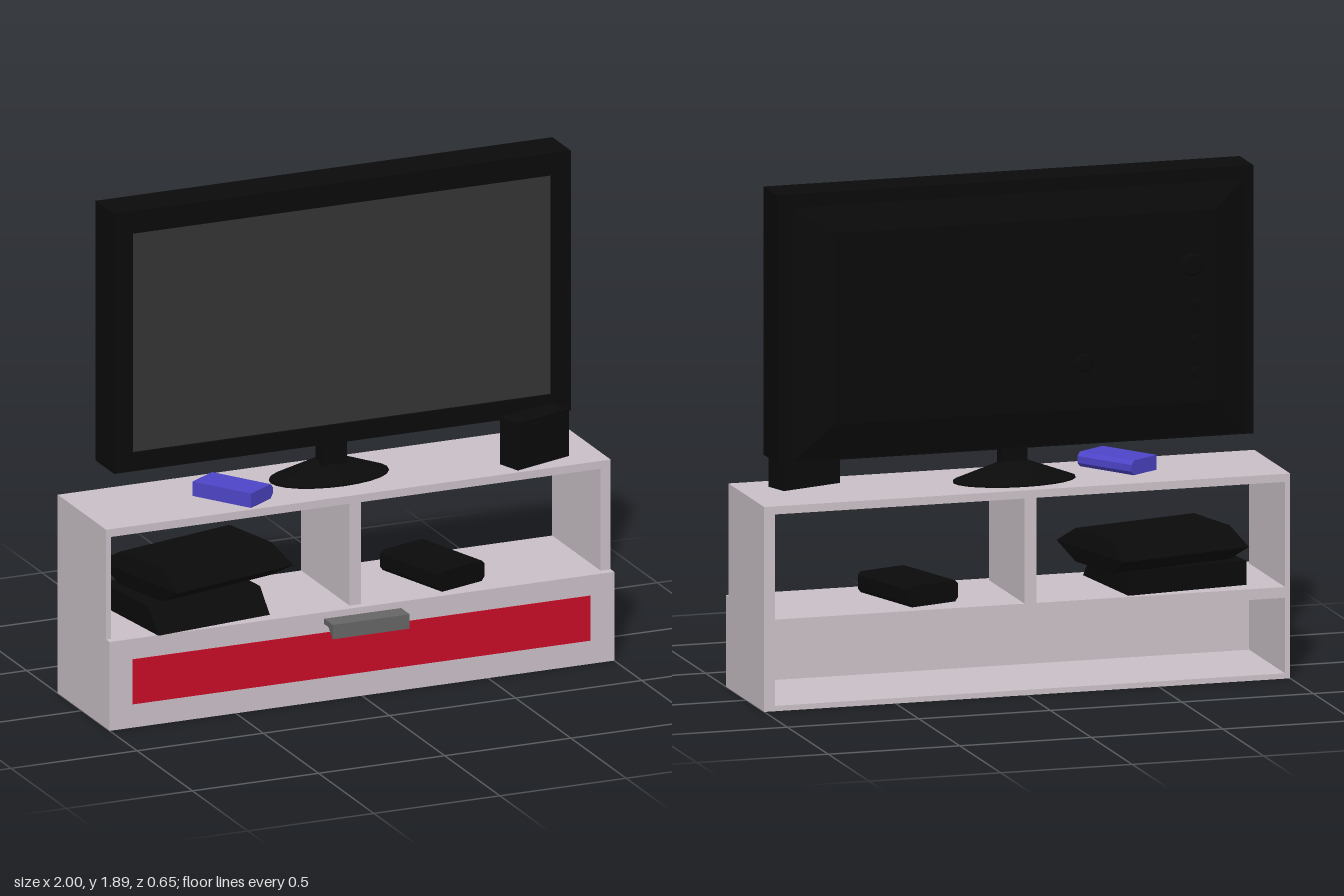
import * as THREE from 'three';

const paint = (color) => new THREE.MeshStandardMaterial({ color, flatShading: true });

export function createModel() {
  const root = new THREE.Group();
  const wood = paint(0xcac0c7), black = paint(0x0a0a0a), glass = paint(0x343434);
  const red = paint(0xc80d26), metal = paint(0x666666), blue = paint(0x4d45c8);

  const add = (name, geo, mat, parent = root) => {
    const mesh = new THREE.Mesh(geo, mat);
    mesh.name = name;
    parent.add(mesh);
    return mesh;
  };
  // Box given by its limits on each axis
  const block = (name, mat, [x0, x1], [y0, y1], [z0, z1], parent) => {
    const mesh = add(name, new THREE.BoxGeometry(x1 - x0, y1 - y0, z1 - z0), mat, parent);
    mesh.position.set((x0 + x1) / 2, (y0 + y1) / 2, (z0 + z1) / 2);
    return mesh;
  };
  // Box whose vertices are moved by a rule, then turned about y and placed
  const shaped = (name, mat, size, pos, turn, rule, segY = 1) => {
    const geo = new THREE.BoxGeometry(...size, 1, segY, 1);
    const p = geo.attributes.position, v = new THREE.Vector3();
    for (let i = 0; i < p.count; i++) {
      rule(v.fromBufferAttribute(p, i));
      p.setXYZ(i, v.x, v.y, v.z);
    }
    geo.computeVertexNormals();
    const mesh = add(name, geo, mat);
    mesh.position.set(...pos);
    mesh.rotation.y = turn;
    return mesh;
  };
  const polygon = (pts) => new THREE.Shape(pts.map(([x, y]) => new THREE.Vector2(x, y)));
  const extrude = (shape, depth) => new THREE.ExtrudeGeometry(shape, { depth, bevelEnabled: false });
  const rect = (x0, x1, y0, y1) => [[x0, y0], [x1, y0], [x1, y1], [x0, y1]];

  // Cabinet, open at the back
  const cabinet = new THREE.Group();
  cabinet.name = 'cabinet';
  root.add(cabinet);
  const deep = [-0.218, 0.22], inside = [-0.98, 0.96];
  block('cabinetTop', wood, [-1, 1], [0.73, 0.76], deep, cabinet);
  block('rightSide', wood, [-1, -0.98], [0, 0.73], deep, cabinet);
  block('leftSide', wood, [0.96, 1], [0, 0.73], deep, cabinet);
  block('shelf', wood, inside, [0.30, 0.34], deep, cabinet);
  block('floor', wood, inside, [0, 0.02], deep, cabinet);
  block('divider', wood, [-0.035, 0.01], [0.34, 0.73], deep, cabinet);

  // Drawer front with coloured panel and hooked handle
  block('drawerFront', wood, [-1, 1], [0, 0.34], [0.22, 0.252], cabinet);
  block('drawerPanel', red, [-0.91, 0.905], [0.09, 0.262], [0.25, 0.255], cabinet);
  const handle = extrude(polygon([[0.25, 0.295], [0.29, 0.295], [0.33, 0.26], [0.33, 0.315], [0.25, 0.315]]), 0.305);
  handle.rotateY(-Math.PI / 2);
  add('drawerHandle', handle, metal, cabinet).position.x = 0.155;

  // Television: bezel frame, recessed screen, solid body, tapered back
  const bezel = polygon(rect(-0.885, 0.925, 0.9, 1.895));
  bezel.holes.push(new THREE.Path(polygon(rect(-0.81, 0.85, 0.97, 1.81)).getPoints().reverse()));
  add('screenBezel', extrude(bezel, 0.02), black).position.z = 0.01;
  block('televisionBody', black, [-0.885, 0.925], [0.9, 1.895], [-0.137, 0.01]);
  block('screen', glass, [-0.81, 0.85], [0.97, 1.81], [0, 0.018]);
  shaped('televisionBack', black, [1.71, 0.94, 0.042], [0.01, 1.375, -0.158], 0, (v) => {
    if (v.z < 0) {
      v.x = v.x > 0 ? 0.71 : -0.74;
      v.y = v.y > 0 ? 0.375 : -0.335;
    }
  });
  // Small fittings on the back
  for (const [x, y, r] of [[-0.64, 1.55, 0.05], [-0.66, 1.4, 0.025], [-0.66, 1.27, 0.025], [-0.66, 1.15, 0.025], [-0.23, 1.21, 0.04]]) {
    const knob = add('backFitting', new THREE.CylinderGeometry(r, r * 0.7, 0.012, 10), black);
    knob.rotation.x = Math.PI / 2;
    knob.position.set(x, y, -0.18);
  }

  // Oval stand with neck
  const base = [[0, 0], [0.23, 0], [0.23, 0.006], [0.05, 0.072], [0, 0.072]].map(([x, y]) => new THREE.Vector2(x, y));
  const foot = add('standBase', new THREE.LatheGeometry(base, 24), black);
  foot.position.set(-0.01, 0.76, -0.025);
  foot.scale.z = 0.59;
  block('standNeck', black, [-0.06, 0.04], [0.8, 0.91], [-0.03, 0.025]);

  // Speaker: turned box with a ribbed grille
  const speaker = new THREE.Group();
  speaker.name = 'speaker';
  speaker.position.set(0.745, 0.76, 0.117);
  speaker.rotation.y = 0.32;
  root.add(speaker);
  block('speakerBox', black, [-0.125, 0.125], [0, 0.18], [-0.05, 0.046], speaker);
  for (let i = 0; i < 8; i++) {
    const y = 0.014 + i * 0.02;
    block('grilleRib', black, [-0.12, 0.12], [y, y + 0.01], [0.046, 0.05], speaker);
  }

  // Small box on the cabinet top, chamfered along one edge
  const caseProfile = polygon([[-0.072, 0], [0.058, 0], [0.072, 0.015], [0.072, 0.04], [0.058, 0.055], [-0.072, 0.055]]);
  const smallBox = extrude(caseProfile, 0.254);
  smallBox.translate(0, 0, -0.127);
  const caseMesh = add('smallBox', smallBox, blue);
  caseMesh.position.set(-0.4275, 0.76, 0.0575);
  caseMesh.rotation.y = 0.58;

  // Player with a sloped front, and a wedge-edged console on it
  shaped('player', black, [0.47, 0.09, 0.4], [-0.6, 0.385, 0.03], 0.123, (v) => {
    if (v.y > 0 && v.z > 0) v.z -= 0.07;
  });
  shaped('console', black, [0.532, 0.125, 0.47], [-0.535, 0.4925, -0.032], 0.244, (v) => {
    if (Math.abs(v.y) > 0.01) {
      v.x -= Math.sign(v.x) * 0.015;
      v.z -= Math.sign(v.z) * 0.11;
    }
  }, 2);

  // Small device on the other side of the shelf
  const deviceProfile = polygon([[-0.095, 0], [0.095, 0], [0.107, 0.015], [0.107, 0.065], [0.095, 0.078], [-0.095, 0.078], [-0.107, 0.065], [-0.107, 0.015]]);
  const device = extrude(deviceProfile, 0.33);
  device.translate(0, 0, -0.165);
  const deviceMesh = add('smallDevice', device, black);
  deviceMesh.position.set(0.378, 0.34, 0.025);
  deviceMesh.rotation.y = 0.3;

  return root;
}
